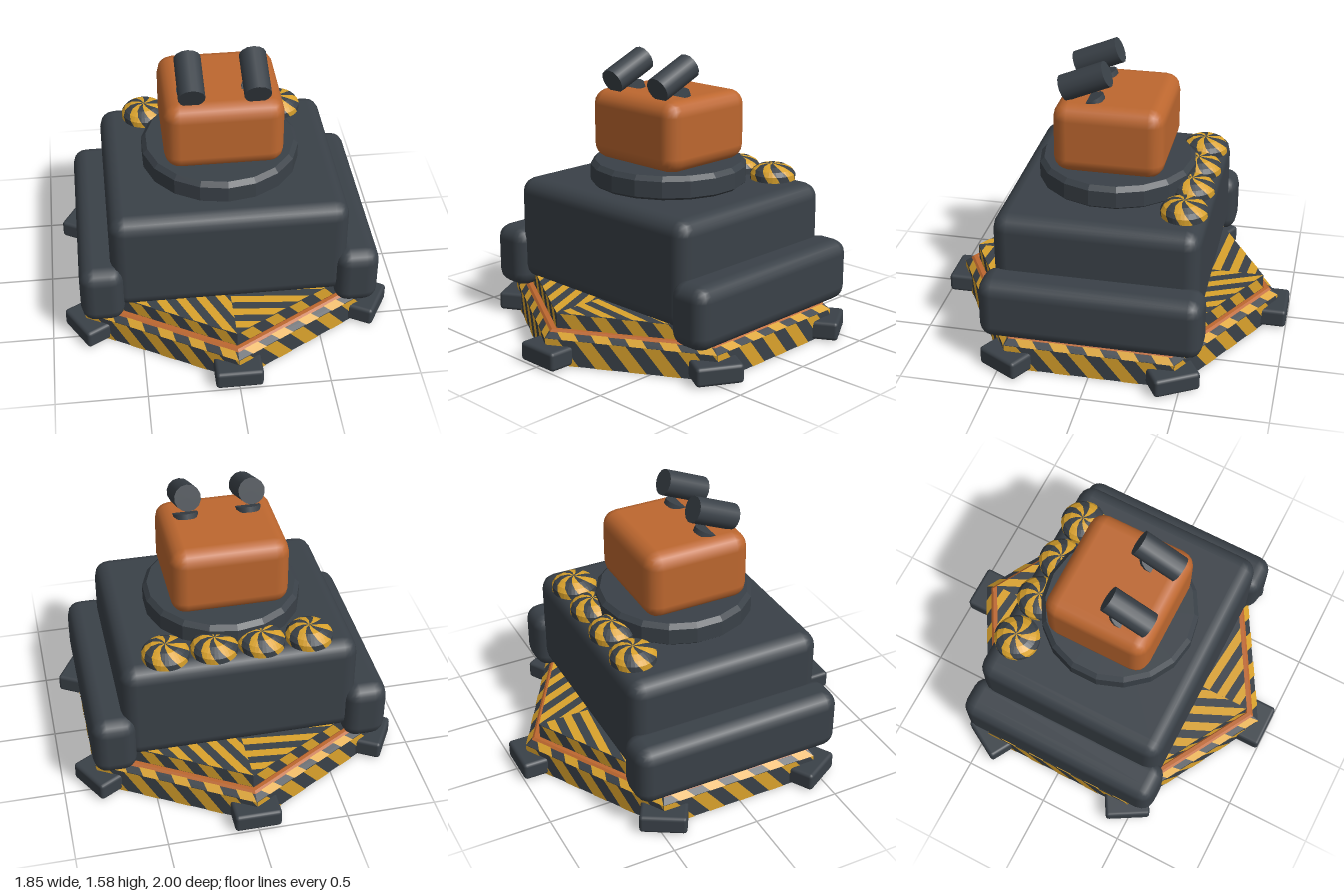
import * as THREE from 'three';
import { mergeGeometries } from 'three/addons/utils/BufferGeometryUtils.js';
import { RoundedBoxGeometry } from 'three/addons/geometries/RoundedBoxGeometry.js';

const charcoal = new THREE.MeshStandardMaterial({ name: 'charcoal', color: 0x3a4148 });
const amber = new THREE.MeshStandardMaterial({ name: 'amber', color: 0xdaa22c });
const rust = new THREE.MeshStandardMaterial({ name: 'rust', color: 0xbd672f });
const SIXTH = Math.PI / 3;

// Keep the part of a convex polygon where n.p >= d
function clip(poly, n, d) {
  const out = [];
  poly.forEach((p, i) => {
    const q = poly[(i + 1) % poly.length];
    const a = n.dot(p) - d, b = n.dot(q) - d;
    if (a >= 0) out.push(p);
    if (a * b < 0) out.push(p.clone().lerp(q, a / (a - b)));
  });
  return out;
}

// Parallel stripes filling a convex polygon
function stripes(points, nx, ny, period) {
  const poly = points.map(([x, y]) => new THREE.Vector2(x, y));
  const n = new THREE.Vector2(nx, ny), shapes = [];
  for (let m = -15; m < 15; m++) {
    const cut = clip(clip(poly, n, m * period), n.clone().negate(), -(m + 0.5) * period);
    if (cut.length > 2) shapes.push(new THREE.Shape(cut));
  }
  return new THREE.ShapeGeometry(shapes);
}

// Repeat one geometry round the hexagon
const sixfold = (geo, offset) => mergeGeometries(
  Array.from({ length: 6 }, (_, k) => geo.clone().rotateY((k + offset) * SIXTH)));

// Diagonal stripes for the six faces between two hexagonal rings
function sideStripes(r0, y0, r1, y1) {
  const rise = y1 - y0, inset = (r0 - r1) * Math.cos(SIXTH / 2);
  const len = Math.hypot(rise, inset);
  const geo = stripes([[-r0 / 2, 0], [r0 / 2, 0], [r1 / 2, len], [-r1 / 2, len]], 1, 0.8, r0 / 5);
  geo.rotateX(-Math.atan2(inset, rise)).translate(0, y0, r0 * Math.cos(SIXTH / 2) + 0.003);
  return sixfold(geo, 0.5);
}

// Twisted wedges of a turned profile; parity picks every other wedge
function swirl(profile, parity, twist, wedges = 12) {
  const pos = [], index = [], steps = 3;
  for (let w = parity; w < wedges; w += 2) {
    const base = pos.length / 3;
    profile.forEach(([r, y], j) => {
      for (let i = 0; i <= steps; i++) {
        const a = (w + i / steps) * 2 * Math.PI / wedges + twist * j / (profile.length - 1);
        pos.push(r * Math.sin(a), y, r * Math.cos(a));
        if (j && i) {
          const c = base + j * (steps + 1) + i, b = c - steps - 1;
          index.push(b - 1, b, c, b - 1, c, c - 1);
        }
      }
    });
  }
  const geo = new THREE.BufferGeometry();
  geo.setAttribute('position', new THREE.Float32BufferAttribute(pos, 3));
  geo.setIndex(index);
  const flat = geo.toNonIndexed();
  flat.computeVertexNormals();
  return flat;
}

// Faceted turned solid
function turned(profile, sides) {
  const geo = new THREE.LatheGeometry(profile.map(([r, y]) => new THREE.Vector2(r, y)), sides).toNonIndexed();
  geo.computeVertexNormals();
  return geo;
}

export function createModel() {
  const model = new THREE.Group();
  model.name = 'turret';
  const add = (name, geo, mat, x = 0, y = 0, z = 0, parent = model) => {
    const mesh = new THREE.Mesh(geo, mat);
    mesh.name = name;
    mesh.position.set(x, y, z);
    parent.add(mesh);
    return mesh;
  };

  // Hexagonal base in two steps with a rust trim between
  add('lowerBase', turned([[0, 0], [0.935, 0], [0.935, 0.145], [0.895, 0.175], [0, 0.175]], 6), charcoal);
  add('lowerBaseStripes', sideStripes(0.935, 0, 0.935, 0.145), amber);
  add('bevelStripes', sideStripes(0.935, 0.145, 0.895, 0.175), amber);
  add('baseTrim', turned([[0.9, 0.16], [0.9, 0.172], [0.885, 0.184], [0.86, 0.184], [0.845, 0.172]], 6), rust);
  add('upperBase', turned([[0, 0.15], [0.85, 0.15], [0.85, 0.262], [0, 0.262]], 6), charcoal);
  add('upperBaseStripes', sideStripes(0.85, 0.18, 0.85, 0.262), amber);
  const sector = stripes([[0, 0], [0, -0.85], [0.736, -0.425]], 0.1, 0.995, 0.1);
  add('deckStripes', sixfold(sector.rotateX(-Math.PI / 2), 0), amber, 0, 0.265, 0);
  add('undersideSwirl', swirl([[0.06, 0], [0.1, 0], [0.15, 0], [0.2, 0]], 0, 0.7), amber, 0, -0.002, 0);

  // Six feet at the corners
  for (let k = 0; k < 6; k++) {
    const foot = new THREE.Group();
    foot.name = 'foot';
    foot.rotation.y = k * SIXTH;
    add('footBlock', new RoundedBoxGeometry(0.26, 0.106, 0.21, 2, 0.02), charcoal, 0, 0.057, 0.895, foot);
    model.add(foot);
  }

  // Hull and side pods
  add('hull', new RoundedBoxGeometry(1.31, 0.595, 1.13, 2, 0.085), charcoal, 0, 0.5375, 0);
  for (const s of [1, -1]) {
    add(s > 0 ? 'leftPod' : 'rightPod', new RoundedBoxGeometry(0.245, 0.35, 1.22, 2, 0.08),
      charcoal, s * 0.7075, 0.355, 0);
  }

  // Turntable and head
  add('turntable', turned([[0.415, 0.83], [0.44, 0.85], [0.44, 0.94], [0.415, 0.966], [0, 0.966]], 18), charcoal);
  add('head', new RoundedBoxGeometry(0.65, 0.395, 0.612, 2, 0.085), rust, 0, 1.1625, 0);

  // Twin tilted barrels with their mounting discs
  for (const s of [1, -1]) {
    const barrel = add(s > 0 ? 'leftBarrel' : 'rightBarrel',
      new THREE.CylinderGeometry(0.073, 0.073, 0.26, 14), charcoal, s * 0.175, 1.46, 0.144);
    barrel.rotation.x = Math.PI / 2 + 0.4;
    const disc = add('barrelMount', new THREE.CylinderGeometry(0.07, 0.07, 0.03, 14), charcoal, s * 0.175, 1.353, 0.106);
    disc.rotation.x = 0.4;
  }

  // Row of swirled domes along the back of the hull
  const dome = [[0.128, 0], [0.128, 0.035], [0.11, 0.06], [0.075, 0.08], [0.035, 0.087], [0, 0.087]];
  for (const x of [-0.395, -0.13, 0.13, 0.395]) {
    add('domeDark', swirl(dome, 0, -0.9), charcoal, x, 0.833, -0.44);
    add('domeAmber', swirl(dome, 1, -0.9), amber, x, 0.833, -0.44);
  }
  return model;
}
